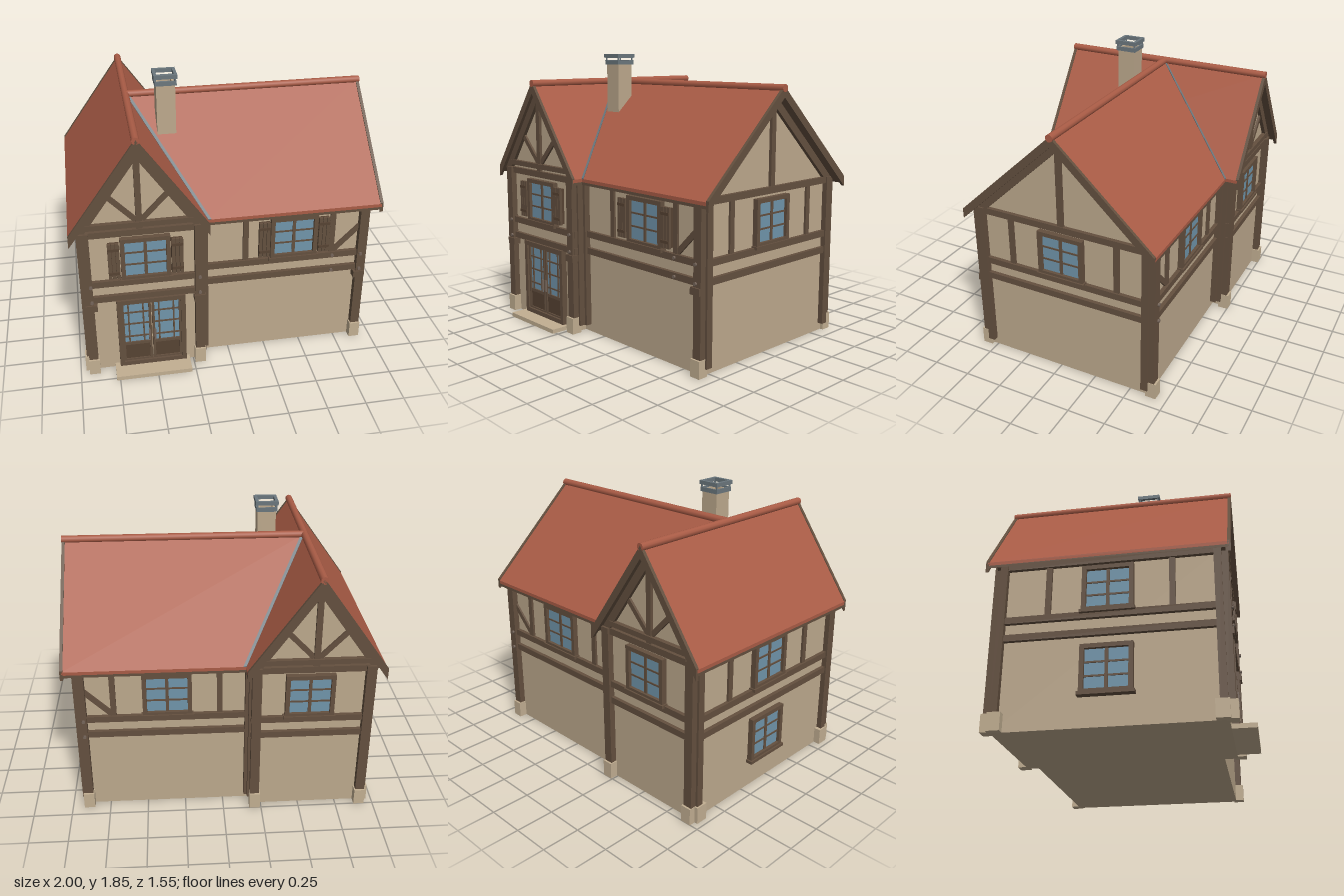
import * as THREE from 'three';

const mat = (name, color) => {
  const m = new THREE.MeshStandardMaterial({ color });
  m.name = name;
  return m;
};

export function createModel() {
  const plaster = mat('plaster', 0xbda98d), timber = mat('timber', 0x64503f), stone = mat('stone', 0xc2af92);
  const tile = mat('roof tile', 0xaa5c46), glass = mat('glass', 0x7095ab), slate = mat('slate', 0x6b777d);
  const iron = mat('iron', 0x75655a), shade = mat('dark timber', 0x574333);

  const house = new THREE.Group();
  house.name = 'house';

  const add = (parent, name, geo, material, x = 0, y = 0, z = 0) => {
    const m = new THREE.Mesh(geo, material);
    m.name = name;
    m.position.set(x, y, z);
    parent.add(m);
    return m;
  };
  const box = (parent, name, material, w, h, d, x, y, z) =>
    add(parent, name, new THREE.BoxGeometry(w, h, d), material, x, y, z);

  // Sheet of vertical thickness t hanging below four top corners
  const slab = (name, material, pts, t) => {
    const [a, b, c] = pts;
    const up = (b[2] - a[2]) * (c[0] - a[0]) - (b[0] - a[0]) * (c[2] - a[2]);
    const p = up < 0 ? [...pts].reverse() : pts;
    const pos = [...p, ...p.map(([x, y, z]) => [x, y - t, z])].flat();
    const idx = [0, 1, 2, 0, 2, 3, 4, 6, 5, 4, 7, 6];
    for (let i = 0; i < 4; i++) {
      const j = (i + 1) % 4;
      idx.push(i, i + 4, j + 4, i, j + 4, j);
    }
    let g = new THREE.BufferGeometry();
    g.setAttribute('position', new THREE.Float32BufferAttribute(pos, 3));
    g.setIndex(idx);
    g = g.toNonIndexed();
    g.computeVertexNormals();
    return add(house, name, g, material);
  };

  // Plaster bodies with gable ends
  const body = (name, c, half, length) => {
    const s = new THREE.Shape();
    s.moveTo(c - half, 0);
    s.lineTo(c + half, 0);
    s.lineTo(c + half, 1.06);
    s.lineTo(c, 1.61);
    s.lineTo(c - half, 1.06);
    return add(house, name, new THREE.ExtrudeGeometry(s, { depth: length, bevelEnabled: false }), plaster);
  };
  body('wingWalls', -0.56, 0.36, 1.33).position.z = -0.7;
  const mainWalls = body('mainWalls', 0.04, 0.59, 1.4);
  mainWalls.rotation.y = Math.PI / 2;
  mainWalls.position.x = -0.5;

  // Wall planes: local x runs along the wall, local z points outward
  const face = (name, x, z, turn) => {
    const g = new THREE.Group();
    g.name = name;
    g.position.set(x, 0, z);
    g.rotation.y = turn;
    house.add(g);
    return g;
  };
  const wingFront = face('wingFront', 0, 0.63, 0), mainFront = face('mainFront', 0, 0.55, 0);
  const mainBack = face('mainBack', 0, -0.63, Math.PI), wingBack = face('wingBack', 0, -0.7, Math.PI);
  const rightSide = face('mainEnd', 0.9, 0, Math.PI / 2), leftSide = face('wingSide', -0.92, 0, -Math.PI / 2);

  const beam = (f, name, u1, y1, u2, y2, w = 0.04, d = 0.02) => {
    const m = box(f, name, timber, Math.hypot(u2 - u1, y2 - y1), w, d, (u1 + u2) / 2, (y1 + y2) / 2, d / 2);
    m.rotation.z = Math.atan2(y2 - y1, u2 - u1);
  };
  const rails = (f, u1, u2) => [0.567, 0.68, 1.04].forEach(y => beam(f, 'rail', u1, y, u2, y, 0.042, 0.025));
  const studs = (f, ...us) => us.forEach(u => beam(f, 'stud', u, 0.7, u, 1.02, 0.036, 0.015));

  rails(wingFront, -0.93, -0.17);
  rails(wingBack, 0.17, 0.93);
  rails(mainFront, -0.2, 0.91);
  rails(mainBack, -0.91, 0.2);
  rails(rightSide, -0.55, 0.63);
  rails(leftSide, -0.7, 0.63);
  studs(mainFront, 0.11, 0.685);
  studs(mainBack, -0.69, -0.02);
  studs(rightSide, -0.32, 0.41);
  studs(leftSide, -0.4, 0.34);
  beam(mainFront, 'brace', 0.69, 0.7, 0.88, 0.89, 0.035, 0.013);
  beam(mainBack, 'brace', -0.69, 0.7, -0.88, 0.89, 0.035, 0.013);

  // Gable trusses
  const gable = (f, c, half, slope, drop) => {
    for (const s of [-1, 1])
      beam(f, 'wallRafter', c + s * half, 1.62 - drop - slope * half, c, 1.62 - drop, 0.05, 0.025);
    beam(f, 'kingPost', c, 1.06, c, 1.57, 0.038, 0.02);
  };
  for (const [f, c] of [[wingFront, -0.57], [wingBack, 0.57]]) {
    gable(f, c, 0.38, 1.419, 0.045);
    beam(f, 'tieBeam', c - 0.33, 1.095, c + 0.33, 1.095, 0.034, 0.03);
    for (const s of [-1, 1]) beam(f, 'gableBrace', c + s * 0.02, 1.12, c + s * 0.2, 1.31, 0.032, 0.015);
  }
  gable(rightSide, 0.04, 0.57, 0.938, 0.036);

  // Corner posts on stone feet; sx, sz point outward
  const corner = (x, z, sx, sz) => {
    box(house, 'cornerPost', timber, 0.06, 0.95, 0.04, x - sx * 0.01, 0.585, z + sz * 0.02);
    box(house, 'sidePost', timber, 0.035, 1.01, 0.045, x + sx * 0.0175, 0.555, z - sz * 0.0225);
    box(house, 'footStone', stone, 0.07, 0.11, 0.07, x - sx * 0.012, 0.055, z + sz * 0.018);
  };
  corner(-0.92, 0.63, -1, 1);
  corner(-0.92, -0.7, -1, -1);
  corner(-0.195, 0.63, 1, 1);
  corner(-0.195, -0.7, 1, -1);
  corner(0.9, 0.55, 1, 1);
  corner(0.9, -0.63, 1, -1);
  for (const z of [0.57, -0.65]) box(house, 'innerPost', timber, 0.045, 1.01, 0.04, -0.162, 0.555, z);
  for (const z of [0.6, -0.67]) box(house, 'sideStone', stone, 0.05, 0.11, 0.08, -0.94, 0.055, z);

  // Post brackets and bolts
  for (const [f, u] of [[wingFront, -0.895], [wingFront, -0.205], [mainFront, 0.88]]) {
    box(f, 'bracket', timber, 0.075, 0.045, 0.05, u, 0.52, 0.025);
  }
  for (const [f, u] of [[wingFront, -0.89], [wingFront, -0.205], [mainFront, 0.69], [mainFront, 0.88], [mainBack, -0.88]])
    for (const y of [0.565, 0.68]) {
      const b = add(f, 'bolt', new THREE.CylinderGeometry(0.011, 0.011, 0.012, 8), iron, u, y, 0.046);
      if (Math.abs(u) === 0.69) b.position.z = 0.03;
      b.rotation.x = Math.PI / 2;
    }

  // Windows
  const frame = (g, w, h, b, d) => {
    for (const s of [-1, 1]) {
      box(g, 'jamb', timber, b, h, d, s * (w - b) / 2, 0, d / 2);
      box(g, 'frameRail', timber, w, b, d, 0, s * (h - b) / 2, d / 2);
    }
  };
  const windowUnit = (f, u, y, shutters) => {
    const g = new THREE.Group();
    g.name = 'window';
    g.position.set(u, y, 0);
    f.add(g);
    frame(g, 0.31, 0.3, 0.027, 0.035);
    box(g, 'pane', glass, 0.27, 0.26, 0.008, 0, 0, 0.01);
    box(g, 'mullion', timber, 0.02, 0.25, 0.018, 0, 0, 0.012);
    for (const s of [-1, 1]) box(g, 'glazingBar', timber, 0.26, 0.011, 0.016, 0, s * 0.042, 0.011);
    box(g, 'sill', timber, 0.33, 0.02, 0.045, 0, -0.15, 0.0225);
    if (!shutters) return;
    for (const s of [-1, 1]) {
      for (let i = 0; i < 3; i++)
        box(g, 'shutterBoard', timber, 0.022, 0.25, 0.018, s * (0.172 + i * 0.025), 0, 0.03);
      for (const v of [-0.085, 0.085]) box(g, 'shutterBatten', shade, 0.07, 0.018, 0.006, s * 0.197, v, 0.041);
      box(g, 'shutterBack', shade, 0.07, 0.24, 0.02, s * 0.195, 0, 0.012);
    }
  };
  windowUnit(wingFront, -0.54, 0.85, true);
  windowUnit(mainFront, 0.425, 0.85, true);
  windowUnit(rightSide, 0.037, 0.85);
  windowUnit(mainBack, -0.35, 0.85);
  windowUnit(wingBack, 0.54, 0.85);
  windowUnit(leftSide, -0.04, 0.85);
  windowUnit(leftSide, -0.04, 0.34);

  // Double door and step
  const door = new THREE.Group();
  door.name = 'door';
  door.position.set(-0.52, 0.29, 0);
  wingFront.add(door);
  frame(door, 0.44, 0.52, 0.03, 0.04);
  for (const s of [-1, 1]) {
    const leaf = new THREE.Group();
    leaf.name = 'doorLeaf';
    leaf.position.x = s * 0.098;
    door.add(leaf);
    frame(leaf, 0.19, 0.47, 0.016, 0.026);
    box(leaf, 'lowerPanel', shade, 0.17, 0.13, 0.016, 0, -0.16, 0.01);
    box(leaf, 'lockRail', timber, 0.18, 0.02, 0.024, 0, -0.095, 0.012);
    box(leaf, 'doorGlass', glass, 0.17, 0.32, 0.008, 0, 0.065, 0.01);
    for (const u of [-0.05, 0.045]) box(leaf, 'doorBar', timber, 0.01, 0.31, 0.018, u, 0.065, 0.012);
    for (const v of [-0.04, 0.06, 0.15]) box(leaf, 'doorBar', timber, 0.17, 0.01, 0.018, 0, v, 0.011);
    box(leaf, 'handle', iron, 0.012, 0.08, 0.012, -s * 0.08, -0.03, 0.034);
  }
  box(house, 'doorStep', stone, 0.495, 0.028, 0.15, -0.525, 0.014, 0.697);

  // Roofs: tile layer over a timber deck
  const TOP = 1.66, EAVE = 1.055;
  const slope = (name, pts) => {
    slab(name, tile, pts, 0.022);
    slab(name + 'Deck', timber, pts.map(([x, y, z]) => [x, y - 0.022, z]), 0.018);
  };
  for (const ex of [-1, -0.14]) {
    slope('wingRoof', [[-0.57, TOP, -0.77], [-0.57, TOP, 0.68], [ex, EAVE, 0.68], [ex, EAVE, -0.77]]);
    for (const [z1, z2] of [[0.67, 0.69], [-0.78, -0.76]])
      slab('bargeboard', timber, [[-0.57, TOP + 0.008, z1], [-0.57, TOP + 0.008, z2],
        [ex, EAVE + 0.008, z2], [ex, EAVE + 0.008, z1]], 0.075);
  }
  for (const ez of [0.61, -0.69]) {
    slope('mainRoof', [[-0.57, TOP, -0.04], [0.985, TOP, -0.04], [0.985, EAVE, ez], [-0.14, EAVE, ez]]);
    slab('bargeboard', timber, [[0.975, TOP + 0.008, -0.04], [0.995, TOP + 0.008, -0.04],
      [0.995, EAVE + 0.008, ez], [0.975, EAVE + 0.008, ez]], 0.065);
    // Valley flashing
    slab('valley', slate, [[-0.57, TOP + 0.005, -0.04], [-0.55, TOP + 0.005, -0.04],
      [-0.122, EAVE + 0.005, ez], [-0.142, EAVE + 0.005, ez]], 0.008);
  }

  // Ridge tiles
  const ridge = (length, x, z) =>
    add(house, 'ridgeTiles', new THREE.CylinderGeometry(0.024, 0.024, length, 10), tile, x, 1.659, z);
  ridge(1.47, -0.57, -0.045).rotation.x = Math.PI / 2;
  ridge(1.565, 0.215, -0.04).rotation.z = Math.PI / 2;

  // Chimney
  const ring = (name, material, outer, inner, h, y) => {
    const square = (p, r) => {
      p.moveTo(-r, -r);
      p.lineTo(r, -r);
      p.lineTo(r, r);
      p.lineTo(-r, r);
      p.closePath();
      return p;
    };
    const s = square(new THREE.Shape(), outer);
    s.holes.push(square(new THREE.Path(), inner));
    const m = add(house, name, new THREE.ExtrudeGeometry(s, { depth: h, bevelEnabled: false }), material, -0.332, y, 0.118);
    m.rotation.x = -Math.PI / 2;
  };
  ring('chimneyStack', plaster, 0.06, 0.042, 0.47, 1.33);
  ring('lowerCap', slate, 0.069, 0.058, 0.028, 1.783);
  ring('upperCap', slate, 0.074, 0.054, 0.025, 1.828);
  box(house, 'flue', slate, 0.084, 0.02, 0.084, -0.332, 1.765, 0.118);
  for (const sx of [-1, 1]) for (const sz of [-1, 1])
    box(house, 'capSpacer', slate, 0.008, 0.03, 0.008, -0.332 + sx * 0.062, 1.818, 0.118 + sz * 0.062);

  return house;
}
